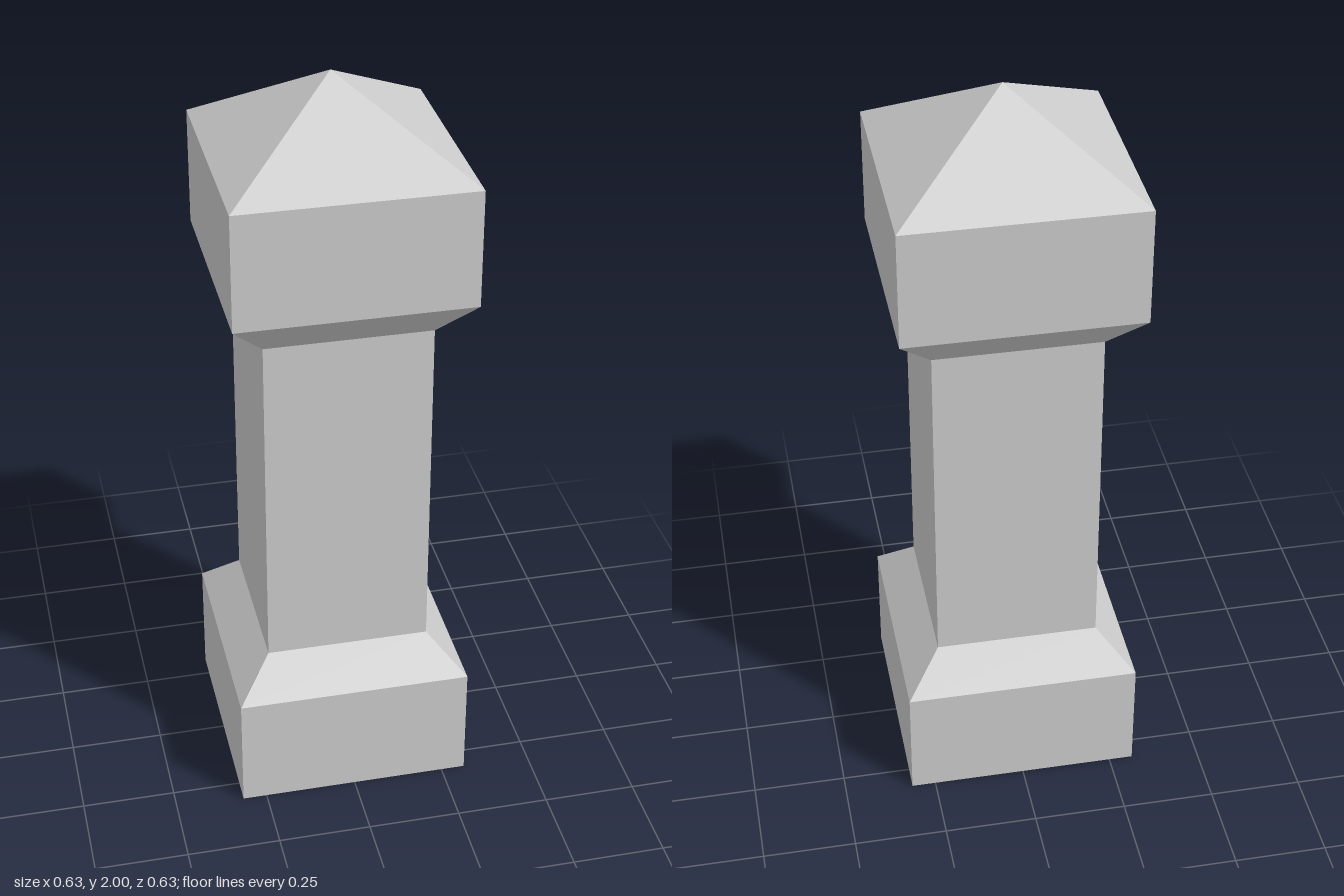
import * as THREE from 'three';

export function createModel() {
  const model = new THREE.Group();
  const material = new THREE.MeshStandardMaterial({ color: 0xcccccc, flatShading: true });

  // Square section between two heights; half widths at bottom and top
  function section(name, y0, y1, half0, half1) {
    const geometry = new THREE.CylinderGeometry(half1 * Math.SQRT2, half0 * Math.SQRT2, y1 - y0, 4, 1, true);
    geometry.rotateY(Math.PI / 4);
    geometry.translate(0, (y0 + y1) / 2, 0);
    const mesh = new THREE.Mesh(geometry, material);
    mesh.name = name;
    model.add(mesh);
  }

  // Sections from the ground up, each meeting the next
  const base = 0.315, shaft = 0.22, head = 0.31;
  section('plinth', 0, 0.32, base, base);
  section('plinthSlope', 0.32, 0.42, base, shaft);
  section('shaft', 0.42, 1.37, shaft, shaft);
  section('headFlare', 1.37, 1.475, shaft, head);
  section('headBlock', 1.475, 1.79, head, head);
  section('pyramidCap', 1.79, 2, head, 0);

  // Underside closing the plinth
  const underside = new THREE.Mesh(new THREE.PlaneGeometry(base * 2, base * 2).rotateX(Math.PI / 2), material);
  underside.name = 'underside';
  model.add(underside);

  return model;
}
